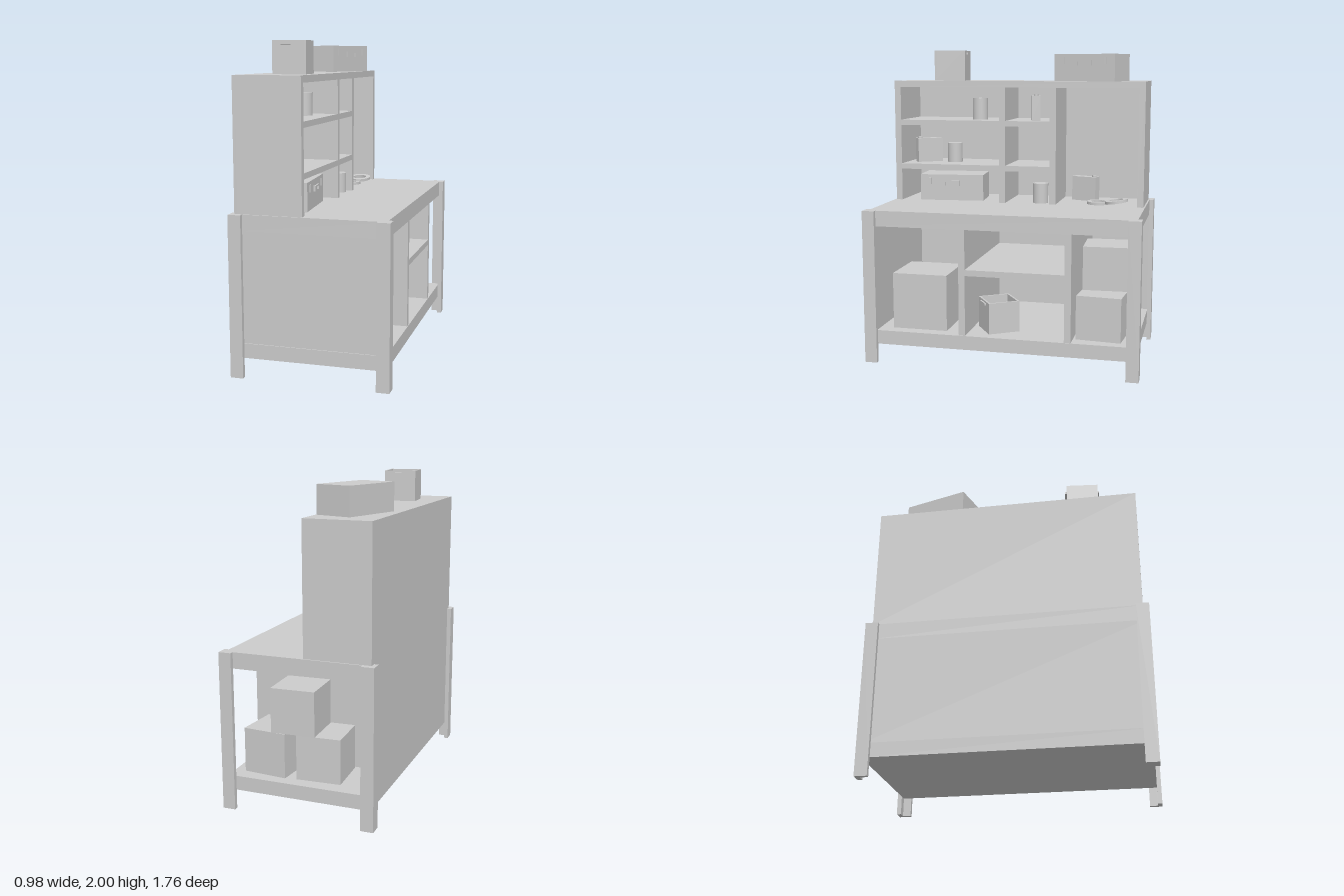
import * as THREE from 'three';

const mat = new THREE.MeshStandardMaterial({ color: 0xcccccc, side: THREE.DoubleSide });

function add(parent, name, geometry, x = 0, y = 0, z = 0) {
  const mesh = new THREE.Mesh(geometry, mat);
  mesh.name = name;
  mesh.position.set(x, y, z);
  parent.add(mesh);
  return mesh;
}

// Box given by its lower and upper limits on each axis
function slab(parent, name, [x0, x1], [y0, y1], [z0, z1]) {
  return add(parent, name, new THREE.BoxGeometry(x1 - x0, y1 - y0, z1 - z0),
    (x0 + x1) / 2, (y0 + y1) / 2, (z0 + z1) / 2);
}

// Group standing at a point and turned about the vertical
function place(parent, name, x, y, z, turn) {
  const g = new THREE.Group();
  g.name = name;
  g.position.set(x, y, z);
  g.rotation.y = turn;
  parent.add(g);
  return g;
}

// Angle-iron leg, L-shaped in plan
function leg(parent, sx, sz) {
  const o = 0.488, t = 0.028, w = 0.08, zo = 0.88;
  const pts = [[o, zo], [o - w, zo], [o - w, zo - t], [o - t, zo - t], [o - t, zo - w], [o, zo - w]];
  const shape = new THREE.Shape(pts.map(([x, z]) => new THREE.Vector2(x * sx, -z * sz)));
  const geo = new THREE.ExtrudeGeometry(shape, { depth: 0.99, bevelEnabled: false });
  geo.rotateX(-Math.PI / 2);
  add(parent, 'leg', geo);
}

// Closed case with two latches and a carrying handle on its long face
function toolCase(parent, x, y, z, turn) {
  const g = place(parent, 'toolCase', x, y, z, turn);
  slab(g, 'caseBody', [-0.12, 0.12], [0, 0.175], [-0.216, 0.216]);
  for (const s of [-1, 1]) {
    slab(g, 'latch', [0.12, 0.126], [0.11, 0.155], [s * 0.15 - 0.007, s * 0.15 + 0.007]);
    slab(g, 'handleEnd', [0.12, 0.134], [0.1, 0.135], [s * 0.05 - 0.005, s * 0.05 + 0.005]);
  }
  slab(g, 'handleBar', [0.125, 0.134], [0.125, 0.135], [-0.05, 0.05]);
}

// Open-topped bin with a grip on two sides
function bin(parent, x, y, z, turn) {
  const g = place(parent, 'bin', x, y, z, turn);
  const r = 0.103, t = 0.012, h = 0.2;
  slab(g, 'binFloor', [-r, r], [0, t], [-r, r]);
  for (const s of [-1, 1]) {
    add(g, 'binSide', new THREE.BoxGeometry(t, h, 2 * r), s * (r - t / 2), h / 2, 0);
    add(g, 'binEnd', new THREE.BoxGeometry(2 * r, h, t), 0, h / 2, s * (r - t / 2));
    add(g, 'grip', new THREE.BoxGeometry(0.095, 0.014, 0.012), 0, 0.182, s * (r + 0.005));
  }
}

// Flat canister with a screw cap near one end
function canister(parent, x, y, z, turn) {
  const g = place(parent, 'canister', x, y, z, turn);
  slab(g, 'canBody', [-0.03, 0.03], [0, 0.163], [-0.088, 0.088]);
  add(g, 'cap', new THREE.CylinderGeometry(0.015, 0.015, 0.012, 20), 0, 0.169, 0.065);
}

// Round tin
function tin(parent, x, y, z, h) {
  add(parent, 'tin', new THREE.CylinderGeometry(0.051, 0.051, h, 32), x, y + h / 2, z);
}

// Flat ring with a square section
function ring(parent, x, y, z, tilt) {
  const pts = [[0.045, -0.009], [0.075, -0.009], [0.075, -0.009], [0.075, 0.009], [0.075, 0.009],
    [0.045, 0.009], [0.045, 0.009], [0.045, -0.009]].map(([r, h]) => new THREE.Vector2(r, h));
  add(parent, 'ring', new THREE.LatheGeometry(pts, 40), x, y, z).rotation.x = tilt;
}

function carton(parent, x, y, z, w, h, d, turn) {
  const g = place(parent, 'carton', x, y, z, turn);
  add(g, 'cartonBody', new THREE.BoxGeometry(w, h, d), 0, h / 2, 0);
}

export function createModel() {
  const model = new THREE.Group();
  model.name = 'workbench';

  // Bench frame: legs, top, deck, back and one closed end
  const bench = new THREE.Group();
  bench.name = 'bench';
  model.add(bench);
  for (const sx of [-1, 1]) for (const sz of [-1, 1]) leg(bench, sx, sz);
  slab(bench, 'benchTop', [-0.46, 0.46], [0.89, 0.99], [-0.852, 0.852]);
  slab(bench, 'lowerDeck', [-0.46, 0.46], [0.12, 0.21], [-0.852, 0.852]);
  slab(bench, 'backPanel', [-0.46, -0.44], [0.21, 0.89], [-0.852, 0.852]);
  slab(bench, 'endPanel', [-0.44, 0.455], [0.21, 0.89], [0.805, 0.845]);
  slab(bench, 'benchDivider', [-0.44, 0.455], [0.21, 0.89], [0.217, 0.258]);
  slab(bench, 'benchDivider', [-0.44, 0.455], [0.21, 0.89], [-0.457, -0.415]);
  slab(bench, 'benchShelf', [-0.44, 0.455], [0.597, 0.635], [-0.415, 0.217]);

  // Hutch standing on the back half of the bench
  const hutch = new THREE.Group();
  hutch.name = 'hutch';
  model.add(hutch);
  const depth = [-0.44, -0.042];
  slab(hutch, 'hutchBack', [-0.46, -0.44], [0.99, 1.797], [-0.842, 0.842]);
  slab(hutch, 'hutchTop', depth, [1.755, 1.797], [-0.842, 0.842]);
  for (const [name, z0, z1] of [['hutchSide', 0.8, 0.842], ['hutchSide', -0.842, -0.8],
    ['hutchDivider', 0.077, 0.117], ['hutchDivider', -0.265, -0.223]]) {
    slab(hutch, name, depth, [0.99, 1.755], [z0, z1]);
  }
  for (const y of [1.203, 1.5]) {
    slab(hutch, 'hutchShelf', depth, [y, y + 0.036], [0.117, 0.8]);
    slab(hutch, 'hutchShelf', depth, [y, y + 0.036], [-0.223, 0.077]);
  }

  // Things kept on and in the bench
  const items = new THREE.Group();
  items.name = 'storedItems';
  model.add(items);
  toolCase(items, -0.226, 1.797, -0.47, -0.293);
  toolCase(items, -0.204, 0.99, 0.47, 0.09);
  bin(items, -0.212, 1.797, 0.483, 0.097);
  bin(items, 0.25, 0.21, 0.047, 0.58);
  tin(items, -0.21, 1.536, 0.29, 0.144);
  tin(items, -0.24, 1.239, 0.48, 0.132);
  tin(items, -0.117, 0.99, -0.15, 0.132);
  canister(items, -0.23, 1.239, 0.665, 0.64);
  canister(items, -0.19, 1.536, -0.1, 1.8);
  canister(items, -0.3, 0.99, -0.427, 2.81);
  ring(items, -0.144, 1.0, -0.535, 0);
  ring(items, -0.105, 1.018, -0.66, 0.14);
  carton(items, 0.2, 0.21, 0.54, 0.36, 0.363, 0.36, 0);
  carton(items, 0.24, 0.21, -0.628, 0.28, 0.28, 0.285, -0.09);
  carton(items, -0.09, 0.21, -0.62, 0.28, 0.28, 0.285, 0.05);
  carton(items, 0.07, 0.49, -0.628, 0.28, 0.28, 0.285, 0.04);
  return model;
}
